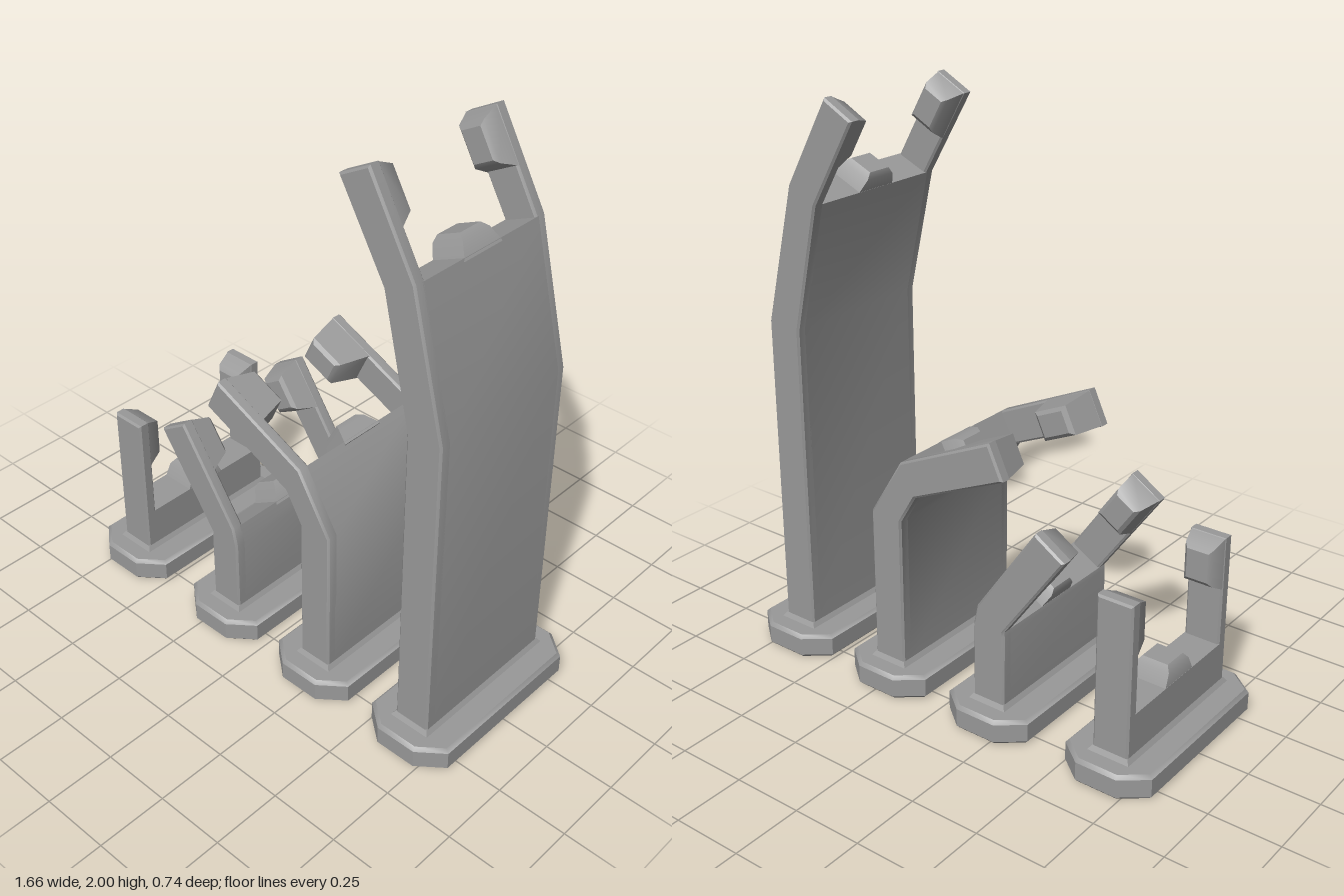
import * as THREE from 'three';
import { ConvexGeometry } from 'three/addons/geometries/ConvexGeometry.js';
import { toCreasedNormals } from 'three/addons/utils/BufferGeometryUtils.js';

const material = new THREE.MeshStandardMaterial({ color: 0x999999 });
const HALF = 0.293;   // half width of a post
const SLOT = 0.248;   // half width of the slot between the arms
const CREASE = 0.65;  // bends gentler than this shade smoothly

// Side profile of each post: [inner edge, outer edge] points from the foot up.
// The last-but-one pair is the floor of the slot, the last pair the arm tips.
const stands = [
  { name: 'straightStand', x: -0.667, hook: 0.19,
    inner: [[-0.733, 0.08], [-0.733, 0.25], [-0.733, 0.643]],
    outer: [[-0.602, 0.08], [-0.602, 0.25], [-0.602, 0.643]] },
  { name: 'shortBentStand', x: -0.193, hook: 0.165,
    inner: [[-0.252, 0.08], [-0.252, 0.36], [-0.25, 0.375], [-0.48, 0.7]],
    outer: [[-0.128, 0.08], [-0.128, 0.37], [-0.143, 0.44], [-0.37, 0.77]] },
  { name: 'mediumBentStand', x: 0.237, hook: 0.13,
    inner: [[0.175, 0.08], [0.175, 0.64], [0.112, 0.745], [-0.245, 0.905]],
    outer: [[0.301, 0.08], [0.301, 0.645], [0.172, 0.855], [-0.19, 1.022]] },
  { name: 'tallBentStand', x: 0.667, hook: 0.185,
    inner: [[0.601, 0.08], [0.601, 1.21], [0.5, 1.65], [0.33, 1.94]],
    outer: [[0.731, 0.08], [0.731, 1.22], [0.612, 1.7], [0.441, 2]] },
];

const vec = ([x, y]) => new THREE.Vector2(x, y);

function addMesh(group, name, geometry) {
  const mesh = new THREE.Mesh(toCreasedNormals(geometry, CREASE), material);
  mesh.name = name;
  group.add(mesh);
  return mesh;
}

// Extrudes a side profile between two z positions.
function slab(inner, outer, z0, z1, bevel) {
  const shape = new THREE.Shape([...outer, ...[...inner].reverse()].map(vec));
  return new THREE.ExtrudeGeometry(shape, {
    depth: z1 - z0 - 2 * bevel, bevelEnabled: bevel > 0, bevelSize: bevel,
    bevelThickness: bevel, bevelOffset: -bevel, bevelSegments: 1,
  }).translate(0, 0, z0 + bevel);
}

// Octagonal foot with chamfered rims.
function footGeometry() {
  const pts = [[0.162, 0.3], [0.075, 0.37], [-0.075, 0.37], [-0.162, 0.3],
    [-0.162, -0.3], [-0.075, -0.37], [0.075, -0.37], [0.162, -0.3]];
  const b = 0.012;
  return new THREE.ExtrudeGeometry(new THREE.Shape(pts.map(vec)), {
    depth: 0.088 - 2 * b, bevelSize: b, bevelThickness: b, bevelOffset: -b, bevelSegments: 1,
  }).rotateX(-Math.PI / 2).translate(0, b, 0);
}

function createStand({ name, x, hook, inner, outer }) {
  const stand = new THREE.Group();
  stand.name = name;
  addMesh(stand, 'foot', footGeometry()).position.x = x;

  // Sloping collar where the post meets the foot
  const collar = [];
  for (const [y, grow] of [[0.08, 0.016], [0.104, 0]])
    for (const sz of [-1, 1])
      collar.push(new THREE.Vector3(inner[0][0] - grow, y, sz * (HALF + grow)),
        new THREE.Vector3(outer[0][0] + grow, y, sz * (HALF + grow)));
  addMesh(stand, 'collar', new ConvexGeometry(collar));

  // Solid panel up to the floor of the slot
  addMesh(stand, 'panel', slab(inner.slice(0, -1), outer.slice(0, -1), -SLOT - 0.012, SLOT + 0.012, 0));

  const tipIn = vec(inner.at(-1)), tipOut = vec(outer.at(-1));
  const floorIn = vec(inner.at(-2)), floorOut = vec(outer.at(-2));
  const along = tipIn.clone().add(tipOut).sub(floorIn).sub(floorOut).normalize();

  // Point on an edge pair: t across the thickness, s along the arm
  const at = (a, b, t, s, z) => {
    const p = a.clone().lerp(b, t).addScaledVector(along, s);
    return new THREE.Vector3(p.x, p.y, z);
  };

  // Tapered bump in the middle of the slot floor
  const bump = [];
  for (const [s, z, inset] of [[-0.01, 0.085, 0], [0.045, 0.06, 0.03], [0.064, 0.045, 0.14]])
    for (const sz of [-1, 1])
      for (const t of [inset, 1 - inset]) bump.push(at(floorIn, floorOut, t, s, sz * z));
  addMesh(stand, 'centreBump', new ConvexGeometry(bump));

  // Side rails with an inward hook at each tip
  for (const side of [-1, 1]) {
    const z0 = side > 0 ? SLOT : -HALF;
    const label = side > 0 ? 'front' : 'back';
    addMesh(stand, label + 'Arm', slab(inner, outer, z0, z0 + HALF - SLOT, 0.007));

    const pts = [];
    for (const [z, top, bottom, inset] of [
      [SLOT + 0.01, 0, -0.19, 0.01],
      [hook + 0.012, -0.025, -0.16, 0.1],
      [hook, -0.04, -0.145, 0.2],
    ])
      for (const s of [top, bottom])
        for (const t of [inset, 1 - inset]) pts.push(at(tipIn, tipOut, t, s, side * z));
    addMesh(stand, label + 'Hook', new ConvexGeometry(pts));
  }
  return stand;
}

export function createModel() {
  const model = new THREE.Group();
  model.name = 'displayStands';
  for (const spec of stands) model.add(createStand(spec));
  return model;
}
